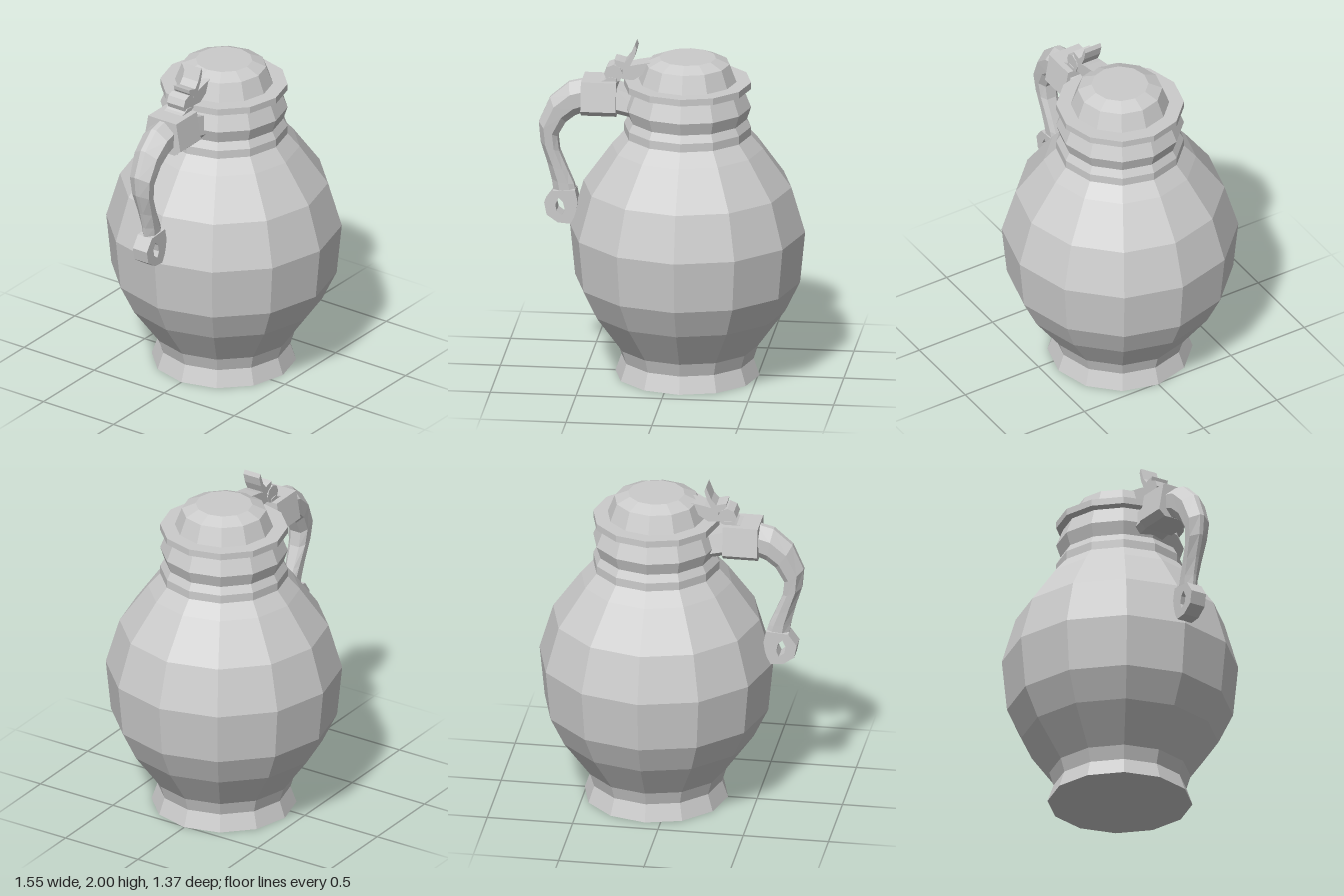
import * as THREE from 'three';

const material = new THREE.MeshStandardMaterial({ color: 0xcccccc, flatShading: true, side: THREE.DoubleSide });
const AXIS_X = 0.09;

function addMesh(group, name, geometry) {
  const flat = geometry.index ? geometry.toNonIndexed() : geometry;
  flat.computeVertexNormals();
  const mesh = new THREE.Mesh(flat, material);
  mesh.name = name;
  group.add(mesh);
  return mesh;
}

// Twelve-sided turned form from [radius, height] pairs
function turned(profile) {
  return new THREE.LatheGeometry(profile.map(([r, y]) => new THREE.Vector2(r, y)), 12);
}

// Flat outline in x,y, given thickness along z and centred on z = 0
function plate(points, depth, hole) {
  const toVectors = (list) => list.map(([x, y]) => new THREE.Vector2(x, y));
  const shape = new THREE.Shape(toVectors(points));
  if (hole) shape.holes.push(new THREE.Path(toVectors(hole)));
  return new THREE.ExtrudeGeometry(shape, { depth, bevelEnabled: false }).translate(0, 0, -depth / 2);
}

// Skin over a list of equal-length cross-sections, with capped ends
function loft(sections) {
  const n = sections[0].length;
  const positions = sections.flat(2);
  const index = [];
  for (let i = 0; i < sections.length - 1; i++) {
    for (let j = 0; j < n; j++) {
      const a = i * n + j, b = i * n + (j + 1) % n;
      index.push(a, a + n, b, b, a + n, b + n);
    }
  }
  const last = (sections.length - 1) * n;
  for (let j = 1; j < n - 1; j++) {
    index.push(0, j, j + 1);
    index.push(last, last + j + 1, last + j);
  }
  const geometry = new THREE.BufferGeometry();
  geometry.setAttribute('position', new THREE.Float32BufferAttribute(positions, 3));
  geometry.setIndex(index);
  return geometry;
}

export function createModel() {
  const group = new THREE.Group();
  group.name = 'liddedJug';

  // Body with foot, belly and ringed neck
  addMesh(group, 'body', turned([
    [0, 0], [0.42, 0], [0.385, 0.1], [0.41, 0.18], [0.57, 0.4], [0.655, 0.575],
    [0.685, 0.88], [0.605, 1.15], [0.44, 1.38], [0.37, 1.46], [0.37, 1.51],
    [0.345, 1.555], [0.37, 1.63], [0.33, 1.73], [0, 1.73],
  ])).position.x = AXIS_X;

  // Stepped lid with a flat rim
  addMesh(group, 'lid', turned([
    [0, 1.74], [0.37, 1.74], [0.37, 1.78], [0.285, 1.78], [0.245, 1.885], [0.165, 1.92], [0, 1.92],
  ])).position.x = AXIS_X;

  // Block joining the handle to the neck: prism along x, narrowing into the neck
  const blockSection = (x, top, bottom, k) => [
    [0.1, top], [0.13, bottom + 0.035], [0.09, bottom],
    [-0.09, bottom], [-0.13, bottom + 0.035], [-0.1, top],
  ].map(([z, y]) => [x, y, z * k]);
  addMesh(group, 'handleBlock', loft([
    blockSection(-0.315, 1.775, 1.57, 1), blockSection(-0.52, 1.775, 1.57, 1),
  ]));
  addMesh(group, 'neckJoint', loft([
    blockSection(-0.16, 1.69, 1.55, 0.85), blockSection(-0.32, 1.735, 1.585, 0.85),
  ]));

  // Curved handle: outer x,y, inner x,y and half width of each section
  const handleSteps = [
    [-0.5, 1.77, -0.5, 1.58, 0.085],
    [-0.6, 1.745, -0.56, 1.555, 0.085],
    [-0.71, 1.65, -0.615, 1.51, 0.08],
    [-0.775, 1.5, -0.665, 1.42, 0.07],
    [-0.765, 1.38, -0.655, 1.33, 0.06],
    [-0.725, 1.25, -0.605, 1.21, 0.05],
    [-0.7, 1.15, -0.57, 1.13, 0.045],
    [-0.69, 1.08, -0.555, 1.07, 0.042],
  ];
  addMesh(group, 'handle', loft(handleSteps.map(([ox, oy, ix, iy, w]) => [
    [0, 0.2], [0.3, 1], [0.75, 0.95], [1, 0.5],
    [1, -0.5], [0.75, -0.95], [0.3, -1], [0, -0.2],
  ].map(([t, k]) => [ox + (ix - ox) * t, oy + (iy - oy) * t, k * w]))));

  // Pierced loop at the foot of the handle
  addMesh(group, 'handleLoop', plate([
    [-0.74, 1.02], [-0.69, 1.09], [-0.56, 1.1], [-0.545, 1.03],
    [-0.557, 0.95], [-0.587, 0.895], [-0.66, 0.9], [-0.725, 0.945],
  ], 0.1, [
    [-0.675, 1.01], [-0.655, 1.05], [-0.63, 1.025], [-0.62, 0.98], [-0.635, 0.945], [-0.667, 0.97],
  ]));

  // Hinge: seat on the block, knuckle, strap onto the lid and thumb lever
  addMesh(group, 'hingeSeat', plate([
    [-0.46, 1.765], [-0.315, 1.765], [-0.315, 1.795], [-0.36, 1.8], [-0.39, 1.78],
  ], 0.13));
  addMesh(group, 'hingeKnuckle', new THREE.CylinderGeometry(0.055, 0.055, 0.12, 8)
    .rotateX(Math.PI / 2).translate(-0.335, 1.82, 0));
  addMesh(group, 'lidStrap', plate([
    [-0.29, 1.79], [-0.22, 1.785], [-0.12, 1.85], [-0.12, 1.895], [-0.2, 1.88], [-0.28, 1.86],
  ], 0.11));
  addMesh(group, 'thumbLever', plate([
    [-0.3, 1.845], [-0.25, 1.85], [-0.215, 1.92], [-0.2, 1.975], [-0.21, 2.0],
    [-0.24, 1.925], [-0.27, 1.89], [-0.305, 1.9], [-0.33, 1.905], [-0.325, 1.88],
  ], 0.11));

  return group;
}
